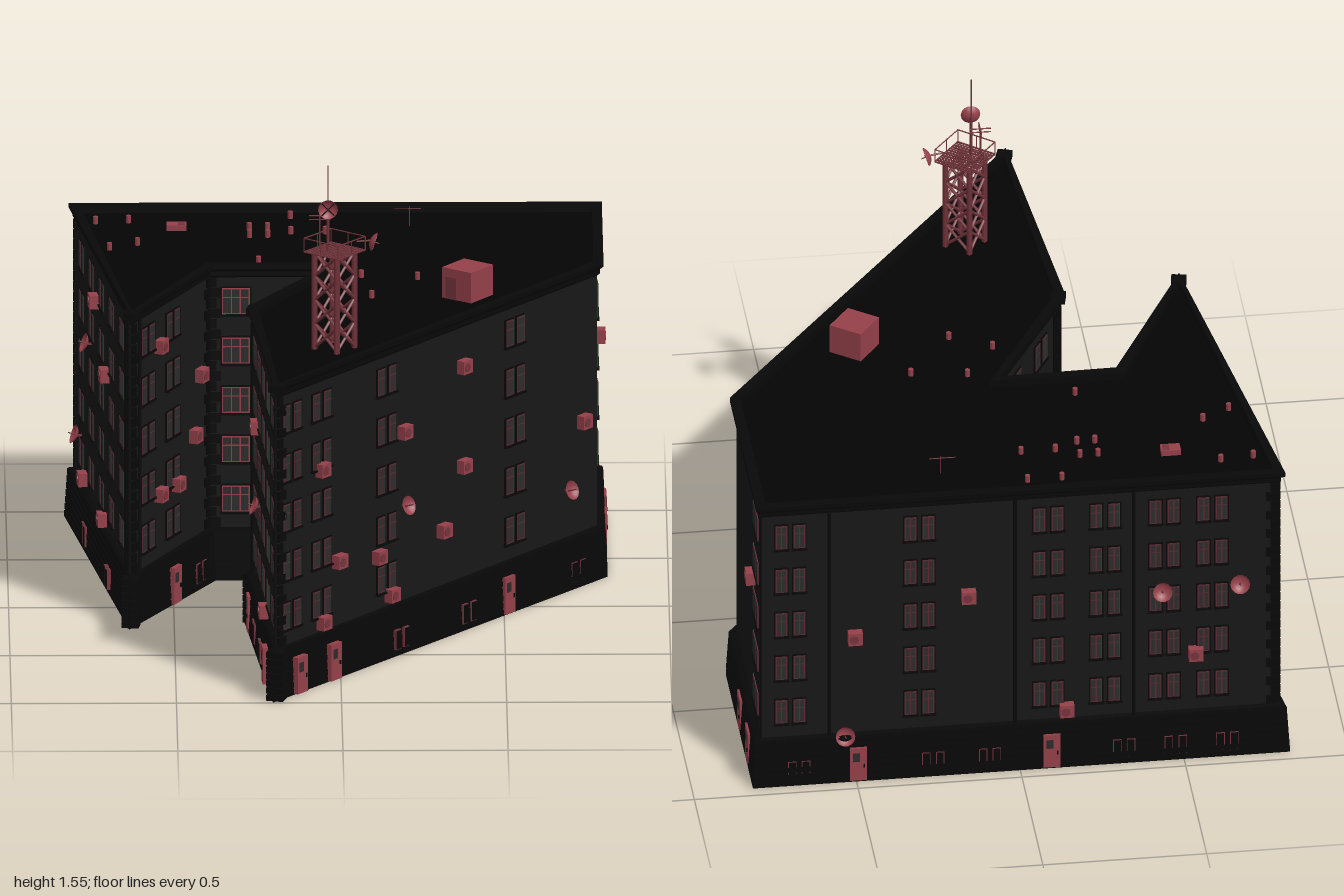
import * as THREE from 'three';
import { mergeGeometries } from 'three/addons/utils/BufferGeometryUtils.js';

// Wall footprint (x, z): back, right side, long diagonal, wing, inner wing, notch, left inner, left outer
const W = [[-0.79, -0.93], [0.785, -0.93], [0.785, -0.32], [-0.195, 0.955],
  [-0.258, 0.14], [-0.005, -0.31], [-0.39, -0.31], [-0.63, 0.188]];
const N = W.length;
const wall = i => {
  const a = W[i], b = W[(i + 1) % N], dx = b[0] - a[0], dz = b[1] - a[1], len = Math.hypot(dx, dz);
  return { a, dx, dz, len, nx: dz / len, nz: -dx / len };
};

// Unnormalised bisector of the two walls meeting at corner i
const bisector = i => {
  const e = wall((i + N - 1) % N), f = wall(i);
  return [e.nx + f.nx, e.nz + f.nz];
};

// Footprint pushed outwards by d, with limited mitres at sharp corners
function offset(d) {
  return W.map((p, i) => {
    const [sx, sz] = bisector(i), l = Math.hypot(sx, sz);
    const m = Math.min(2 / l, 1.45) * d / l;
    return [p[0] + sx * m, p[1] + sz * m];
  });
}

// Faceted shell through offset outlines, profile = [y, offset]
function loft(profile) {
  const pos = [];
  for (let k = 0; k + 1 < profile.length; k++) {
    const [y0, d0] = profile[k], [y1, d1] = profile[k + 1], lo = offset(d0), hi = offset(d1);
    for (let i = 0; i < N; i++) {
      const j = (i + 1) % N;
      const a = [lo[i][0], y0, lo[i][1]], b = [lo[j][0], y0, lo[j][1]];
      const c = [hi[j][0], y1, hi[j][1]], d = [hi[i][0], y1, hi[i][1]];
      pos.push(...a, ...c, ...b, ...a, ...d, ...c);
    }
  }
  const g = new THREE.BufferGeometry();
  g.setAttribute('position', new THREE.Float32BufferAttribute(pos, 3));
  g.computeVertexNormals();
  return g;
}

// Matrix at fraction t along wall i: x along the wall, z outwards
function onWall(i, t, y, shift = 0, out = 0) {
  const w = wall(i), ang = Math.atan2(w.nx, w.nz);
  const m = new THREE.Matrix4().makeRotationY(ang);
  return m.setPosition(w.a[0] + w.dx * t + Math.cos(ang) * shift + w.nx * out, y,
    w.a[1] + w.dz * t - Math.sin(ang) * shift + w.nz * out);
}

export function createModel() {
  const model = new THREE.Group();
  const parts = {};
  const put = (name, color, geo, m) => {
    if (m) geo.applyMatrix4(m);
    (parts[name] ??= { color, list: [] }).list.push(geo);
  };
  const RED = 0x96404a, STEEL = 0x74343c, DARK = 0x080808, GLASS = 0x2c2c2c;
  const box = (name, color, m, w, h, d, x = 0, y = 0, z = 0) =>
    put(name, color, new THREE.BoxGeometry(w, h, d).translate(x, y, z), m);
  const strut = (name, color, a, b, r, sides = 6) => {
    const p = new THREE.Vector3(...a), q = new THREE.Vector3(...b), d = q.clone().sub(p);
    const quat = new THREE.Quaternion().setFromUnitVectors(new THREE.Vector3(0, 1, 0), d.clone().normalize());
    put(name, color, new THREE.CylinderGeometry(r, r, d.length(), sides),
      new THREE.Matrix4().compose(p.add(q).multiplyScalar(0.5), quat, new THREE.Vector3(1, 1, 1)));
  };

  // Banded plinth, walls, cornice and roof
  const base = [];
  for (let k = 0; k < 7; k++) {
    const y = 0.005 + k * 0.0225, d = 0.031 - k * 0.0013;
    base.push([y, d], [y + 0.018, d], [y + 0.018, d - 0.004], [y + 0.0225, d - 0.004]);
  }
  base.push([0.165, 0]);
  put('base', DARK, loft(base));
  put('walls', 0x181818, loft([[0.16, 0], [0.97, 0]]));
  put('cornice', DARK, loft([[0.955, 0], [0.962, 0.008], [0.975, 0.008], [0.985, 0.019],
    [0.998, 0.019], [0.998, -0.012], [0.973, -0.012]]));
  const roof = new THREE.ShapeGeometry(new THREE.Shape(W.map(p => new THREE.Vector2(p[0], -p[1]))));
  put('roof', 0x040404, roof.rotateX(-Math.PI / 2).translate(0, 0.974, 0));

  // Corner stones, alternating long and short
  for (const v of [0, 3, 4, 6, 7]) {
    for (let k = 0; k < 24; k++) {
      const l = k % 2 ? 0.022 : 0.036, y = 0.182 + k * 0.033;
      for (const [i, end] of [[v, 0], [(v + N - 1) % N, 1]]) {
        const t = end ? 1 - l / 2 / wall(i).len : l / 2 / wall(i).len;
        box('cornerStones', DARK, onWall(i, t, y), l, 0.028, 0.016);
      }
    }
  }

  // Blunt blocks on the sharp corners, at plinth and cornice
  for (const v of [3, 4, 7]) {
    const [sx, sz] = bisector(v);
    const m = new THREE.Matrix4().makeRotationY(Math.atan2(sx, sz)).setPosition(W[v][0], 0, W[v][1]);
    for (let k = 0; k < 7; k++) box('cornerBlocks', DARK, m, 0.052, 0.018, 0.05, 0, 0.014 + k * 0.0225, 0.005);
    box('cornerBlocks', DARK, m, 0.046, 0.02, 0.044, 0, 0.987, -0.002);
  }

  // Windows: trim, coloured frame and panes
  function makeWindow(m, w, h, cols, frame, color) {
    box('windowTrim', DARK, m, w + 0.008, h + 0.008, 0.010);
    box('windowSill', DARK, m, w + 0.012, 0.006, 0.02, 0, -h / 2 - 0.005);
    box(frame, color, m, w, h, 0.013);
    const bar = 0.004, pw = (w - bar) / cols - bar;
    let y = -h / 2 + bar;
    for (const share of [0.68, 0.32]) {
      const ph = (h - bar * 3) * share;
      for (let c = 0; c < cols; c++)
        box('windowPanes', GLASS, m, pw, ph, 0.016, -w / 2 + bar + pw / 2 + c * (pw + bar), y + ph / 2);
      y += ph + bar;
    }
  }
  const pairs = [[0.127, 0.22, 0.335, 0.445, 0.695, 0.945], [], [0.26, 0.66, 0.863, 0.957],
    [0.1, 0.3, 0.5, 0.7, 0.88], [0.3, 0.7], [], [0.48, 0.8], [0.14, 0.32, 0.5, 0.68, 0.86]];
  const wide = { 1: [[0.17, 0.115]], 5: [[0.79, 0.085], [0.3, 0.085]] };
  for (let f = 0; f < 5; f++) {
    const y = 0.257 + f * 0.156;
    for (let i = 0; i < N; i++) {
      for (const t of pairs[i])
        for (const s of [-1, 1]) makeWindow(onWall(i, t, y, s * 0.0275), 0.036, 0.082, 2, 'windowFrames', 0x582a30);
      for (const [t, w] of wide[i] ?? []) makeWindow(onWall(i, t, y), w, 0.082, 3, 'wideWindowFrames', RED);
    }
  }

  // Doors and small plinth windows: [wall, t]
  for (const [i, t] of [[0, 0.44], [0, 0.815], [1, 0.2], [1, 0.51], [2, 0.297], [2, 0.84], [2, 0.945],
    [3, 0.2], [3, 0.86], [4, 0.5], [5, 0.28], [6, 0.52]]) {
    const m = onWall(i, t, 0.066, 0, 0.02), w = i === 1 ? 0.07 : 0.052;
    box('doors', RED, m, w, 0.115, 0.023);
    box('doorPanels', GLASS, m, w * 0.4, 0.03, 0.026, -w * 0.12, 0.025);
    box('doorHandles', DARK, m, 0.005, 0.012, 0.03, w * 0.32, -0.005);
  }
  for (const [i, t] of [[0, 0.93], [0, 0.67], [0, 0.56], [0, 0.3], [0, 0.2], [0, 0.1], [2, 0.08], [2, 0.42],
    [2, 0.63], [3, 0.4], [3, 0.65], [6, 0.2], [7, 0.3], [7, 0.7]])
    for (const s of [-1, 1]) {
      const m = onWall(i, t, 0.058, s * 0.021, 0.022);
      box('plinthFrames', STEEL, m, 0.026, 0.062, 0.012);
      box('plinthPanes', DARK, m, 0.021, 0.057, 0.016);
    }

  // Air conditioners: [wall, t, y]
  for (const [i, t, y] of [[0, 0.82, 0.51], [0, 0.6, 0.63], [0, 0.41, 0.2], [0, 0.16, 0.37], [1, 0.29, 0.635],
    [2, 0.867, 0.68], [2, 0.425, 0.835], [2, 0.61, 0.7], [2, 0.425, 0.52], [2, 0.488, 0.34], [2, 0.05, 0.515],
    [2, 0.814, 0.37], [2, 0.69, 0.335], [2, 0.863, 0.195], [2, 0.65, 0.2], [3, 0.4, 0.185], [3, 0.75, 0.68],
    [4, 0.5, 0.5], [4, 0.75, 0.34], [6, 0.66, 0.84], [6, 0.14, 0.67], [6, 0.22, 0.49], [6, 0.66, 0.37],
    [6, 0.44, 0.37], [7, 0.6, 0.83], [7, 0.41, 0.66], [7, 0.8, 0.2], [7, 0.45, 0.19]]) {
    const m = onWall(i, t, y, 0, 0.014);
    box('airConditioners', RED, m, 0.044, 0.042, 0.028);
    put('airConditionerFans', STEEL,
      new THREE.CylinderGeometry(0.014, 0.014, 0.004, 12).rotateX(Math.PI / 2).translate(-0.005, 0, 0.014), m);
  }

  // Dishes, the bowl opening along +z
  const dish = m => {
    put('dishes', RED, new THREE.SphereGeometry(0.039, 14, 4, 0, Math.PI * 2, 0, 0.88)
      .rotateX(-Math.PI / 2).translate(0, 0, 0.039), m);
    put('dishArms', STEEL, new THREE.CylinderGeometry(0.002, 0.002, 0.03, 5)
      .rotateX(Math.PI / 2).translate(0, 0, 0.015), m);
  };
  for (const [i, t, y] of [[0, 0.84, 0.16], [0, 0.225, 0.6], [0, 0.075, 0.61], [2, 0.61, 0.465],
    [2, 0.1, 0.315], [3, 0.66, 0.45], [7, 0.7, 0.66], [7, 0.88, 0.31]]) {
    dish(onWall(i, t, y, 0, 0.014).multiply(new THREE.Matrix4().makeRotationX(-0.35)));
    box('dishArms', STEEL, onWall(i, t, y, 0, 0.008), 0.006, 0.006, 0.018);
  }

  // Downpipes
  for (const [i, t] of [[0, 0.87], [0, 0.51], [0, 0.28], [3, 0.95], [4, 0.1], [6, 0.92], [7, 0.05]])
    put('downpipes', DARK, new THREE.CylinderGeometry(0.006, 0.006, 0.8, 6), onWall(i, t, 0.56, 0, 0.008));

  // Roof hut, skylight, vents and aerial
  const hut = new THREE.Matrix4().makeRotationY(-0.64).setPosition(0.39, 1.02, -0.045);
  box('roofHut', RED, hut, 0.108, 0.1, 0.112);
  box('roofHutDoor', STEEL, hut, 0.04, 0.07, 0.004, -0.02, -0.012, 0.056);
  const sky = new THREE.Matrix4().setPosition(-0.485, 0.982, -0.75);
  box('skylight', RED, sky, 0.06, 0.02, 0.04);
  box('skylightPane', STEEL, sky, 0.02, 0.022, 0.03, 0.014);
  for (const [x, z] of [[-0.14, -0.86], [-0.035, -0.86], [-0.14, -0.7], [-0.035, -0.7], [-0.265, -0.74],
    [-0.21, -0.74], [-0.265, -0.665], [-0.21, -0.665], [-0.73, -0.81], [-0.63, -0.82], [-0.69, -0.535],
    [-0.605, -0.585], [-0.24, -0.39], [0.07, -0.245], [0.24, -0.22], [-0.025, -0.1], [0.1, -0.03]])
    strut('roofVents', RED, [x, 0.972, z], [x, 0.997, z], 0.008, 8);
  strut('roofAerial', STEEL, [0.22, 0.972, -0.78], [0.22, 1.035, -0.78], 0.0015);
  strut('roofAerial', STEEL, [0.175, 1.028, -0.78], [0.255, 1.028, -0.78], 0.0015);

  // Lattice tower, turned to follow the diagonal wall
  const ca = Math.cos(0.68), sa = Math.sin(0.68);
  const P = (x, y, z) => [-0.017 + x * ca - z * sa, y, 0.497 + x * sa + z * ca];
  const ring = h => [[-h, -h], [h, -h], [h, h], [-h, h]];
  const legs = ring(0.043), rail = ring(0.066);
  for (let s = 0; s < 4; s++) {
    const a = legs[s], b = legs[(s + 1) % 4], c = rail[s], d = rail[(s + 1) % 4];
    strut('towerLegs', STEEL, P(a[0], 0.972, a[1]), P(a[0], 1.28, a[1]), 0.009, 4);
    for (let k = 0; k < 4; k++) {
      const y = 0.98 + k * 0.075;
      strut('towerBraces', STEEL, P(a[0], y, a[1]), P(b[0], y + 0.075, b[1]), 0.005);
      strut('towerBraces', STEEL, P(b[0], y, b[1]), P(a[0], y + 0.075, a[1]), 0.005);
    }
    for (const y of [1.282, 1.325]) strut('towerRailing', STEEL, P(c[0], y, c[1]), P(d[0], y, d[1]), 0.002);
    for (const f of [0, 0.5]) {
      const x = c[0] + (d[0] - c[0]) * f, z = c[1] + (d[1] - c[1]) * f;
      strut('towerRailing', STEEL, P(x, 1.282, z), P(x, 1.325, z), 0.002);
    }
  }
  // Grating deck
  for (let k = -6; k <= 6; k++) {
    const u = k * 0.011;
    strut('towerDeck', STEEL, P(u, 1.282, -0.066), P(u, 1.282, 0.066), 0.0025, 4);
    strut('towerDeck', STEEL, P(-0.066, 1.282, u), P(0.066, 1.282, u), 0.0025, 4);
  }

  // Mast, cross aerials and tower dishes
  strut('mast', STEEL, [-0.037, 1.28, 0.505], [-0.037, 1.42, 0.505], 0.005);
  strut('mast', STEEL, [-0.037, 1.42, 0.505], [-0.037, 1.555, 0.505], 0.0025);
  strut('mast', STEEL, [-0.062, 1.28, 0.48], [-0.062, 1.39, 0.48], 0.003);
  for (const y of [1.378, 1.39]) {
    strut('crossAerials', STEEL, [-0.095, y, 0.485], [-0.03, y, 0.485], 0.002);
    strut('crossAerials', STEEL, [-0.062, y, 0.45], [-0.062, y, 0.52], 0.002);
  }
  for (const [x, y, z, turn, tilt] of [[-0.037, 1.42, 0.508, 0, 0], [0.09, 1.31, 0.48, Math.PI / 2, 0.35]]) {
    const m = new THREE.Matrix4().makeRotationY(turn).setPosition(x, y, z)
      .multiply(new THREE.Matrix4().makeRotationX(tilt));
    dish(m);
    for (const s of [-1, 1])
      put('dishFeedBars', DARK, new THREE.BoxGeometry(0.054, 0.003, 0.003).rotateZ(s * Math.PI / 4).translate(0, 0, 0.015), m);
  }
  strut('dishArms', STEEL, [0.05, 1.31, 0.49], [0.092, 1.31, 0.48], 0.003);

  for (const [name, { color, list }] of Object.entries(parts)) {
    const mesh = new THREE.Mesh(mergeGeometries(list),
      new THREE.MeshStandardMaterial({ color, side: THREE.DoubleSide }));
    mesh.name = name;
    model.add(mesh);
  }
  return model;
}
